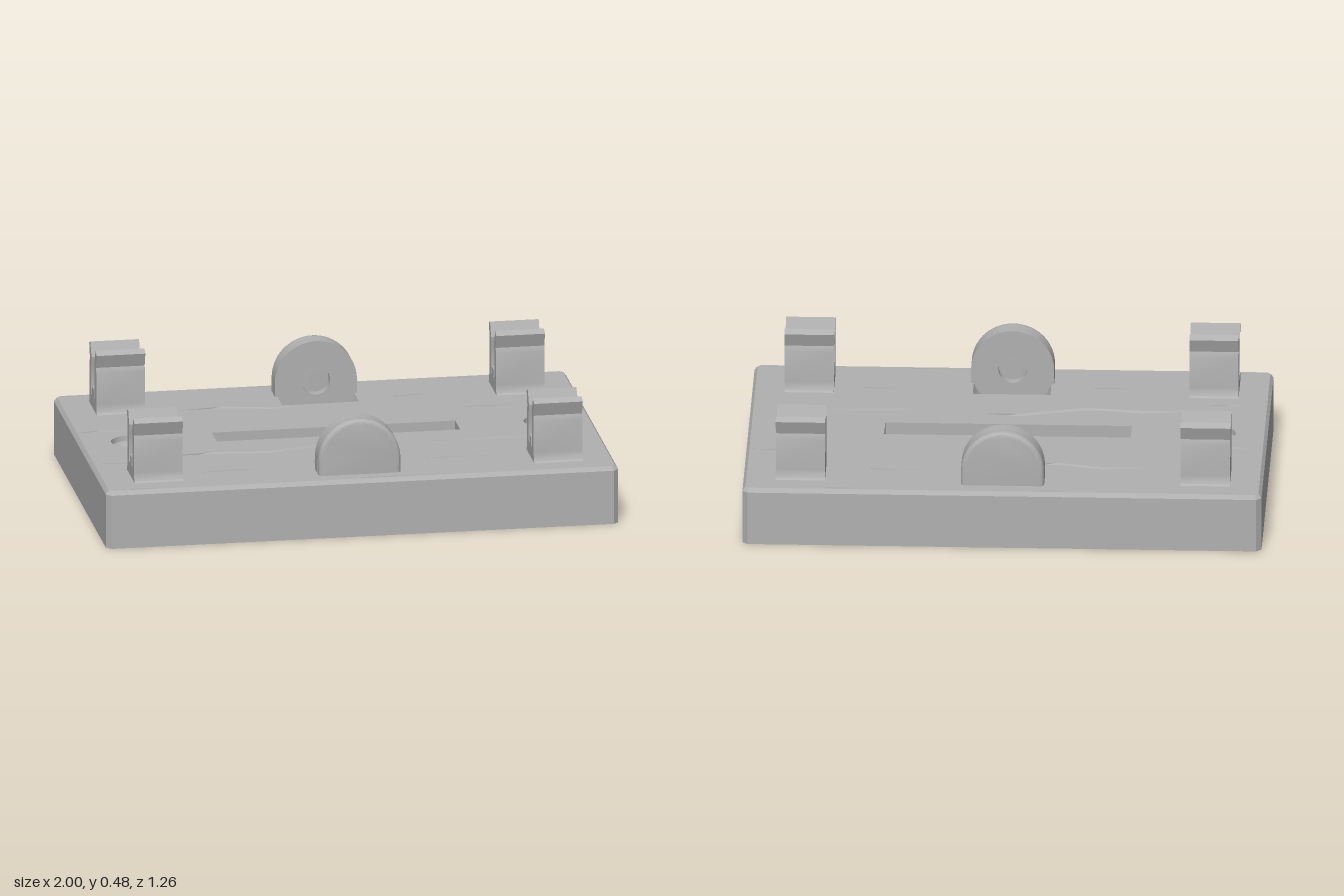
import * as THREE from 'three';
import { toCreasedNormals } from 'three/addons/utils/BufferGeometryUtils.js';

const TOP = 0.23, CEIL = 0.12;              // deck height, hollow ceiling
const LUG_Y = 0.287, LUG_R = 0.16;          // lug centre height and radius

// Plan outlines are counter-clockwise [x, v] points with v = -z.
const rect = (x0, v0, x1, v1) => [[x0, v0], [x1, v0], [x1, v1], [x0, v1]];
const circle = (cx, r, n = 40) => Array.from({ length: n }, (_, i) => {
  const a = (i / n) * Math.PI * 2;
  return [cx + r * Math.cos(a), r * Math.sin(a)];
});
const octagon = (hx, hv, c) => [
  [hx, -hv + c], [hx, hv - c], [hx - c, hv], [-hx + c, hv],
  [-hx, hv - c], [-hx, -hv + c], [-hx + c, -hv], [hx - c, -hv]];
const at = (outline, y) => outline.map(([x, v]) => [x, y, -v]);
const toShape = (pts) => new THREE.Shape(pts.map(([x, v]) => new THREE.Vector2(x, v)));

// Flat horizontal face with holes
function flat(outline, holes, y, up) {
  const s = toShape(outline);
  s.holes = holes.map((h) => new THREE.Path(h.map(([x, v]) => new THREE.Vector2(x, v))));
  return new THREE.ShapeGeometry(s).rotateX(up ? -Math.PI / 2 : Math.PI / 2).translate(0, y, 0);
}

// Skin between successive rings: bottom-up faces outward, top-down faces inward
function loft(rings, closed = true) {
  const pos = [];
  for (let r = 0; r < rings.length - 1; r++) {
    const lo = rings[r], hi = rings[r + 1], n = lo.length;
    for (let i = 0; i < (closed ? n : n - 1); i++) {
      const j = (i + 1) % n;
      pos.push(...lo[i], ...lo[j], ...hi[j], ...lo[i], ...hi[j], ...hi[i]);
    }
  }
  const g = new THREE.BufferGeometry();
  g.setAttribute('position', new THREE.Float32BufferAttribute(pos, 3));
  g.computeVertexNormals();
  return toCreasedNormals(g, 0.5);
}

// Cracks: centre lines as [x, z] points, with a half width
const CRACKS = [
  [0.011, [[-0.55, -0.36], [-0.38, -0.372], [-0.2, -0.332], [-0.06, -0.348]]],
  [0.008, [[0.27, -0.4], [0.41, -0.418], [0.555, -0.406]]],
  [0.008, [[0.525, -0.232], [0.69, -0.225], [0.82, -0.238], [0.985, -0.225]]],
  [0.009, [[-0.985, -0.135], [-0.9, -0.15], [-0.82, -0.136], [-0.73, -0.145]]],
  [0.013, [[-0.71, 0.212], [-0.51, 0.2], [-0.3, 0.224], [-0.17, 0.19], [-0.04, 0.152], [0.1, 0.163]]],
  [0.009, [[0.33, 0.185], [0.41, 0.192], [0.54, 0.186], [0.7, 0.182], [0.9, 0.19]]],
  [0.009, [[-0.985, 0.265], [-0.85, 0.28], [-0.76, 0.272]]],
  [0.008, [[-0.6, 0.44], [-0.46, 0.43], [-0.29, 0.435]]],
  [0.008, [[0.27, 0.395], [0.43, 0.4], [0.58, 0.406]]],
  [0.007, [[-0.98, -0.608], [-0.89, -0.606], [-0.83, -0.609]]],
  [0.006, [[-0.24, -0.609], [-0.19, -0.607], [-0.13, -0.609]]],
  [0.007, [[0.52, -0.609], [0.6, -0.606], [0.69, -0.609]]],
  [0.008, [[-0.03, 0.609], [0.2, 0.605], [0.4, 0.608]]],
  [0.006, [[-0.93, 0.609], [-0.84, 0.608], [-0.79, 0.609]]],
].map(([w, line]) => {
  const side = (d) => line.map(([x, z], i) => [x, -z + (i && i < line.length - 1 ? d * w : 0)]);
  return { right: side(-1), mid: side(0), left: side(1) };
});

export function createModel() {
  const grey = new THREE.MeshStandardMaterial({ color: 0xb0b0b0 });
  grey.name = 'grey plastic';
  const model = new THREE.Group();
  model.name = 'mountingPlate';
  const add = (name, geometry, parent = model) => {
    const m = new THREE.Mesh(geometry, grey);
    m.name = name;
    parent.add(m);
    return m;
  };

  // Plate body, hollow underneath
  const outer = octagon(1, 0.63, 0.02), deck = octagon(0.988, 0.618, 0.014);
  const hollow = rect(-0.93, -0.33, 0.93, 0.33);
  const slot = rect(-0.475, -0.058, 0.475, 0.058);
  const chord = Math.sqrt(LUG_R ** 2 - (LUG_Y - TOP) ** 2);
  const pockets = [rect(-chord, -0.47, chord, -0.36), rect(-chord, 0.36, chord, 0.47)];
  const cracks = CRACKS.map((c) => [...c.right, ...c.left.slice(1, -1).reverse()]);
  const screwX = [-0.805, 0.805];
  add('outerWall', loft([at(outer, 0), at(outer, TOP - 0.016), at(deck, TOP)]));
  add('deck', flat(deck, [slot, ...pockets, ...cracks, ...screwX.map((x) => circle(x, 0.072))], TOP, true));
  add('underside', flat(outer, [hollow], 0, false));
  add('hollowWall', loft([at(hollow, CEIL), at(hollow, 0)]));
  add('hollowCeiling', flat(hollow, [slot, ...screwX.map((x) => circle(x, 0.036))], CEIL, false));
  add('slotWall', loft([at(slot, TOP), at(slot, CEIL)]));

  // Countersunk screw holes
  for (const x of screwX) {
    add('screwHole', loft([[0.072, TOP], [0.07, 0.21], [0.045, 0.175], [0.036, 0.17], [0.036, CEIL]]
      .map(([r, y]) => at(circle(x, r), y))));
  }

  // V-shaped grooves of the cracks
  for (const c of CRACKS) {
    add('crack', loft([at(c.right, TOP), at(c.mid, TOP - 0.018), at(c.left, TOP)], false));
  }

  // Ribs across the hollow
  for (let i = -11; i <= 11; i++) {
    add('rib', new THREE.BoxGeometry(0.01, CEIL, 0.66).translate(i * 0.0815, CEIL / 2, 0));
  }

  // Clip profile: two sprung prongs on a fillet foot, with a middle stop
  const half = [[0.1, 0.225], [0.087, 0.236], [0.08, 0.25], [0.078, 0.268], [0.078, 0.395],
    [0.071, 0.415], [0.088, 0.468], [0.061, 0.481], [0.034, 0.427], [0.035, 0.412],
    [0.041, 0.39], [0.041, 0.296], [0.037, 0.284], [0.029, 0.278], [0.02, 0.278], [0.02, 0.313]];
  const clipShape = toShape([...half, ...half.map(([x, y]) => [-x, y]).reverse()]);
  const clipGeo = toCreasedNormals(
    new THREE.ExtrudeGeometry(clipShape, { depth: 0.19, bevelEnabled: false })
      .translate(0, 0, -0.095).rotateY(Math.PI / 2), 0.4);
  for (const x of [-0.78, 0.78]) {
    for (const z of [-0.442, 0.442]) add('clip', clipGeo).position.set(x, 0, z);
  }

  // Lug outline: round top on straight sides
  const arch = (r) => {
    const s = new THREE.Shape();
    s.moveTo(-r, 0.122).lineTo(r, 0.122).lineTo(r, LUG_Y);
    s.absarc(0, LUG_Y, r, 0, Math.PI, false);
    return s;
  };
  const ringShape = arch(LUG_R);
  ringShape.holes.push(new THREE.Path().absarc(0, LUG_Y, 0.055, 0, Math.PI * 2, true));
  const ringGeo = toCreasedNormals(new THREE.ExtrudeGeometry(ringShape,
    { depth: 0.05, bevelEnabled: false, curveSegments: 32 }).translate(0, 0, 0.47), 0.5);
  const backGeo = toCreasedNormals(new THREE.ExtrudeGeometry(arch(LUG_R), {
    depth: 0.024, bevelThickness: 0.016, bevelSize: 0.016, bevelOffset: -0.016,
    bevelSegments: 4, curveSegments: 32 }).translate(0, 0, 0.522), 0.6);

  // Round clearance pocket in front of each lug
  const T = Math.acos((LUG_Y - TOP) / LUG_R);
  const arc = (z) => Array.from({ length: 25 }, (_, i) => {
    const t = -T + (2 * T * i) / 24;
    return [LUG_R * Math.sin(t), LUG_Y - LUG_R * Math.cos(t), z];
  });
  const pocketGeo = loft([arc(0.47), arc(0.36)], false);
  const endShape = new THREE.Shape()
    .absarc(0, LUG_Y, LUG_R, -Math.PI / 2 - T, -Math.PI / 2 + T, false);
  const endGeo = new THREE.ShapeGeometry(endShape, 24).translate(0, 0, 0.36);

  for (const turn of [0, Math.PI]) {
    const lug = new THREE.Group();
    lug.name = turn ? 'backLug' : 'frontLug';
    lug.rotation.y = turn;
    add('lugRing', ringGeo, lug);
    add('lugBack', backGeo, lug);
    // solid slice closing the socket behind the ring
    add('socketFloor', new THREE.CircleGeometry(0.07, 32).rotateY(Math.PI).translate(0, LUG_Y, 0.515), lug);
    add('pocketFloor', pocketGeo, lug);
    add('pocketEnd', endGeo, lug);
    model.add(lug);
  }
  return model;
}
